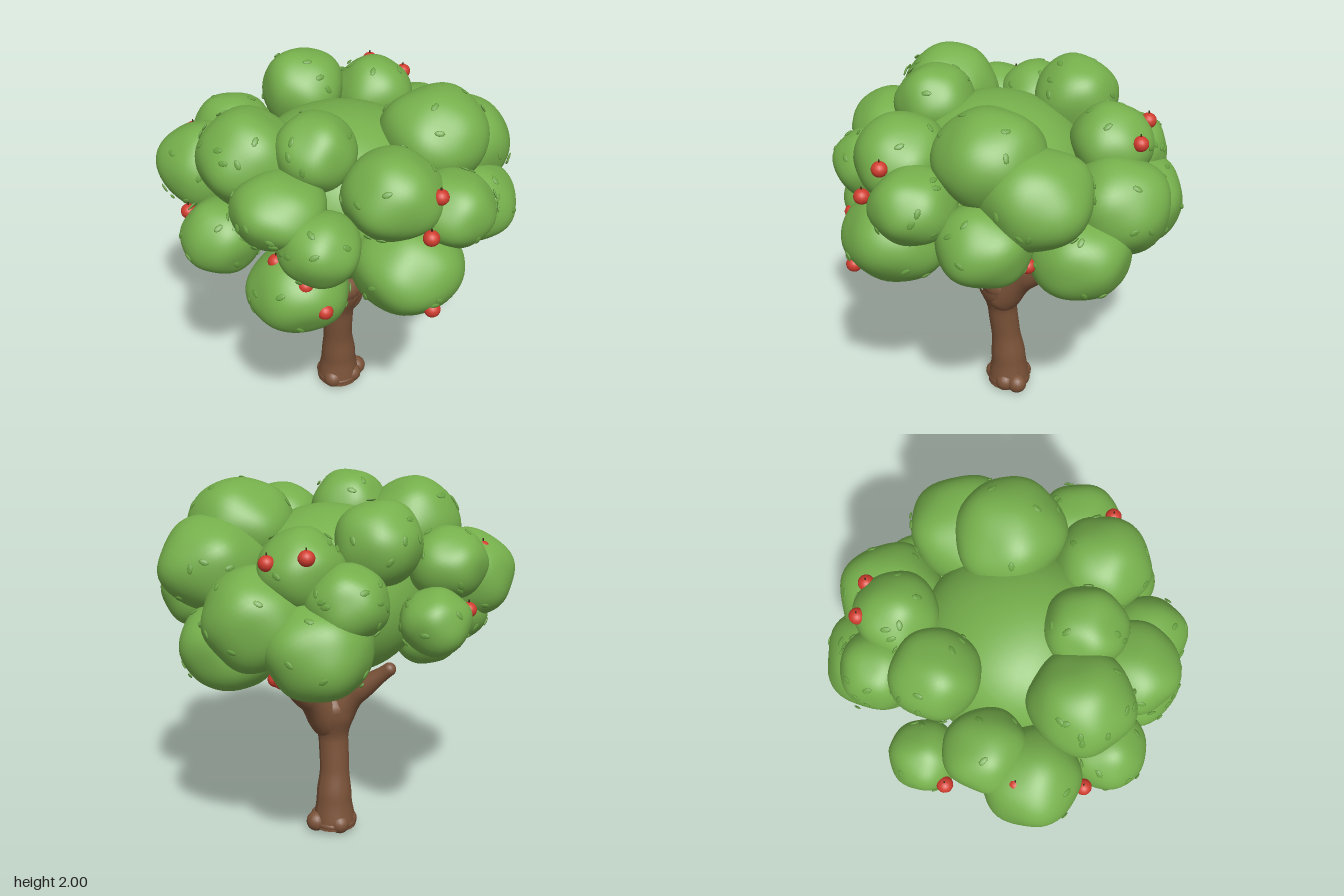
import * as THREE from 'three';
import { mergeVertices } from 'three/addons/utils/BufferGeometryUtils.js';

const mat = (color) => new THREE.MeshStandardMaterial({ color });
const V = (x, y, z) => new THREE.Vector3(x, y, z);

function seeded(seed) {
  return () => {
    seed = (seed * 16807) % 2147483647;
    return seed / 2147483647;
  };
}

// Smooth, gently lumpy ellipsoid
function lumpGeometry(rx, ry, rz, phase, amount) {
  let g = new THREE.IcosahedronGeometry(1, 9);
  g.deleteAttribute('uv');
  g.deleteAttribute('normal');
  g = mergeVertices(g, 1e-4);
  const p = g.attributes.position;
  for (let i = 0; i < p.count; i++) {
    const v = V().fromBufferAttribute(p, i);
    const n = Math.sin(4.1 * v.x + phase) * Math.cos(3.7 * v.y + phase * 1.7)
      + Math.sin(4.7 * v.z + phase * 2.3) * Math.cos(4.3 * v.x - phase)
      + 0.5 * Math.sin(5 * v.y + 4 * v.z + phase * 3);
    v.multiplyScalar(1 + amount * n);
    p.setXYZ(i, v.x * rx, v.y * ry, v.z * rz);
  }
  g.computeVertexNormals();
  return g;
}

// Tapered round limb along a curve
function limbGeometry(points, radii, sides = 16) {
  const curve = new THREE.CatmullRomCurve3(points);
  const segs = 32;
  const g = new THREE.TubeGeometry(curve, segs, 1, sides, false);
  const p = g.attributes.position;
  for (let i = 0; i <= segs; i++) {
    const c = curve.getPointAt(i / segs);
    const t = (i / segs) * (radii.length - 1);
    const k = Math.min(Math.floor(t), radii.length - 2);
    const r = THREE.MathUtils.lerp(radii[k], radii[k + 1], THREE.MathUtils.smoothstep(t - k, 0, 1));
    for (let j = 0; j <= sides; j++) {
      const n = i * (sides + 1) + j;
      const v = V().fromBufferAttribute(p, n).sub(c).multiplyScalar(r).add(c);
      p.setXYZ(n, v.x, v.y, v.z);
    }
  }
  g.computeVertexNormals();
  return g;
}

export function createModel() {
  const tree = new THREE.Group();
  const bark = mat(0x7a5238), green = mat(0x76b04c), leafGreen = mat(0x6aa343);
  const red = mat(0xd03c2e), stemBrown = mat(0x3b2a1c);
  const add = (parent, name, geometry, material, pos) => {
    const m = new THREE.Mesh(geometry, material);
    m.name = name;
    if (pos) m.position.copy(pos);
    parent.add(m);
    return m;
  };
  const group = (name) => {
    const g = new THREE.Group();
    g.name = name;
    tree.add(g);
    return g;
  };

  // Trunk, flared at the foot and the fork
  const wood = group('wood');
  add(wood, 'trunk', limbGeometry(
    [V(0.01, 0.03, -0.09), V(0.01, 0.2, -0.085), V(0, 0.38, -0.07), V(-0.003, 0.55, -0.05), V(0, 0.72, -0.04)],
    [0.122, 0.1, 0.083, 0.084, 0.13], 20), bark);
  add(wood, 'trunkFoot', new THREE.SphereGeometry(1, 20, 12), bark, V(0.01, 0.055, -0.09)).scale.set(0.124, 0.05, 0.124);
  add(wood, 'fork', new THREE.SphereGeometry(1, 20, 14), bark, V(0, 0.73, -0.04)).scale.set(0.135, 0.095, 0.115);

  // Rounded roots
  for (const [x, z] of [[0.122, -0.08], [-0.05, -0.03], [0.02, -0.17], [-0.05, -0.13], [0.07, -0.03]])
    add(wood, 'root', new THREE.SphereGeometry(0.056, 16, 12), bark, V(x, 0.065, z));

  // Branches
  const branches = [
    [[V(0.03, 0.66, -0.04), V(0.13, 0.79, -0.08), V(0.37, 1.0, -0.18)], [0.1, 0.07, 0.037]],
    [[V(-0.01, 0.66, -0.04), V(-0.07, 0.8, -0.12), V(-0.21, 1.0, -0.3)], [0.1, 0.065, 0.037]],
    [[V(-0.07, 0.8, 0.04), V(-0.14, 0.88, 0.13), V(-0.22, 0.97, 0.23)], [0.048, 0.045, 0.04]],
    [[V(-0.01, 0.885, -0.02), V(-0.01, 0.95, -0.02), V(-0.01, 1.02, -0.02)], [0.053, 0.052, 0.05]],
  ];
  for (const [points, radii] of branches) {
    add(wood, 'branch', limbGeometry(points, radii), bark);
    for (const e of [0, 2]) add(wood, 'branchEnd', new THREE.SphereGeometry(radii[e], 16, 12), bark, points[e]);
  }

  // Foliage: one core and a ring of clumps [x, y, z, radius, height radius]
  const clumps = [
    [0, 1.4, 0, 0.53, 0.46],
    [-0.52, 1.71, 0, 0.26, 0.25], [-0.25, 1.79, 0.22, 0.21, 0.2], [0.4, 1.75, 0.24, 0.285, 0.25],
    [-0.01, 1.76, -0.5, 0.225, 0.22], [-0.42, 1.61, -0.5, 0.21, 0.19], [0.4, 1.67, -0.46, 0.215, 0.205],
    [0.62, 1.6, 0.11, 0.285, 0.245], [0.6, 1.43, -0.38, 0.275, 0.26], [0.64, 1.23, -0.14, 0.265, 0.23],
    [0.57, 1.39, 0.37, 0.24, 0.21], [0.02, 1.66, 0.54, 0.25, 0.225], [0.31, 1.55, 0.62, 0.22, 0.19],
    [0.08, 1.27, 0.61, 0.285, 0.24], [-0.5, 1.59, 0.34, 0.24, 0.185], [-0.37, 1.46, 0.55, 0.205, 0.185],
    [-0.44, 1.17, 0.43, 0.255, 0.215], [-0.7, 1.32, 0.04, 0.21, 0.195], [-0.63, 1.5, -0.38, 0.25, 0.235],
    [-0.21, 1.39, -0.73, 0.18, 0.17], [0.39, 1.31, -0.62, 0.275, 0.25], [0.26, 1.54, -0.67, 0.205, 0.195],
    [-0.54, 1.33, -0.37, 0.205, 0.195], [-0.46, 1.16, -0.26, 0.185, 0.175],
  ];
  const foliage = group('foliage'), leaves = group('leaves');
  const rand = seeded(4711);
  const leafGeometry = new THREE.SphereGeometry(1, 8, 6);
  const up = V(0, 1, 0);
  clumps.forEach(([x, y, z, r, h], i) => {
    const c = V(x, y, z);
    add(foliage, i ? 'leafClump' : 'foliageCore', lumpGeometry(r, h, r, i * 1.9, i ? 0.028 : 0.008), green, c);
    if (!i) return;
    // Small flat leaves lying on the outside of each clump
    for (let k = 0; k < 12; k++) {
      const a = rand() * Math.PI * 2, s = rand() * 1.6 - 0.7, q = Math.sqrt(1 - s * s);
      const d = V(q * Math.cos(a), s, q * Math.sin(a));
      const p = V(d.x * r, d.y * h, d.z * r).multiplyScalar(1.025).add(c);
      const covered = clumps.some(([X, Y, Z, R, H], j) =>
        j !== i && Math.hypot((p.x - X) / R, (p.y - Y) / H, (p.z - Z) / R) < 1.08);
      const twist = rand() * Math.PI;
      if (covered) continue;
      const leaf = add(leaves, 'leaf', leafGeometry, leafGreen, p);
      leaf.scale.set(0.015, 0.006, 0.027);
      leaf.quaternion.setFromUnitVectors(up, d);
      leaf.rotateY(twist);
    }
  });

  // Red fruit with short stems
  const fruits = [
    [0.18, 1.71, 0.73], [0.1, 1.54, 0.8], [0.09, 1.16, 0.86], [-0.4, 1.17, 0.67], [-0.47, 1.3, 0.6],
    [0.45, 1.18, 0.39], [-0.65, 1.66, -0.49], [-0.4, 1.43, -0.74], [0.46, 1.78, -0.64], [0.6, 1.74, -0.5],
    [0.56, 1.15, -0.5], [0.57, 1.17, -0.59], [0.62, 1.23, 0.15], [-0.8, 1.36, -0.18], [0.11, 1.15, -0.56],
    [-0.55, 1.35, 0.42],
  ];
  const fruitGroup = group('fruits');
  const fruitGeometry = new THREE.SphereGeometry(0.042, 16, 12);
  const stemGeometry = new THREE.CylinderGeometry(0.004, 0.004, 0.02, 6);
  for (const [x, y, z] of fruits) {
    add(fruitGroup, 'fruit', fruitGeometry, red, V(x, y, z)).scale.y = 0.95;
    add(fruitGroup, 'fruitStem', stemGeometry, stemBrown, V(x, y + 0.043, z));
  }
  return tree;
}
